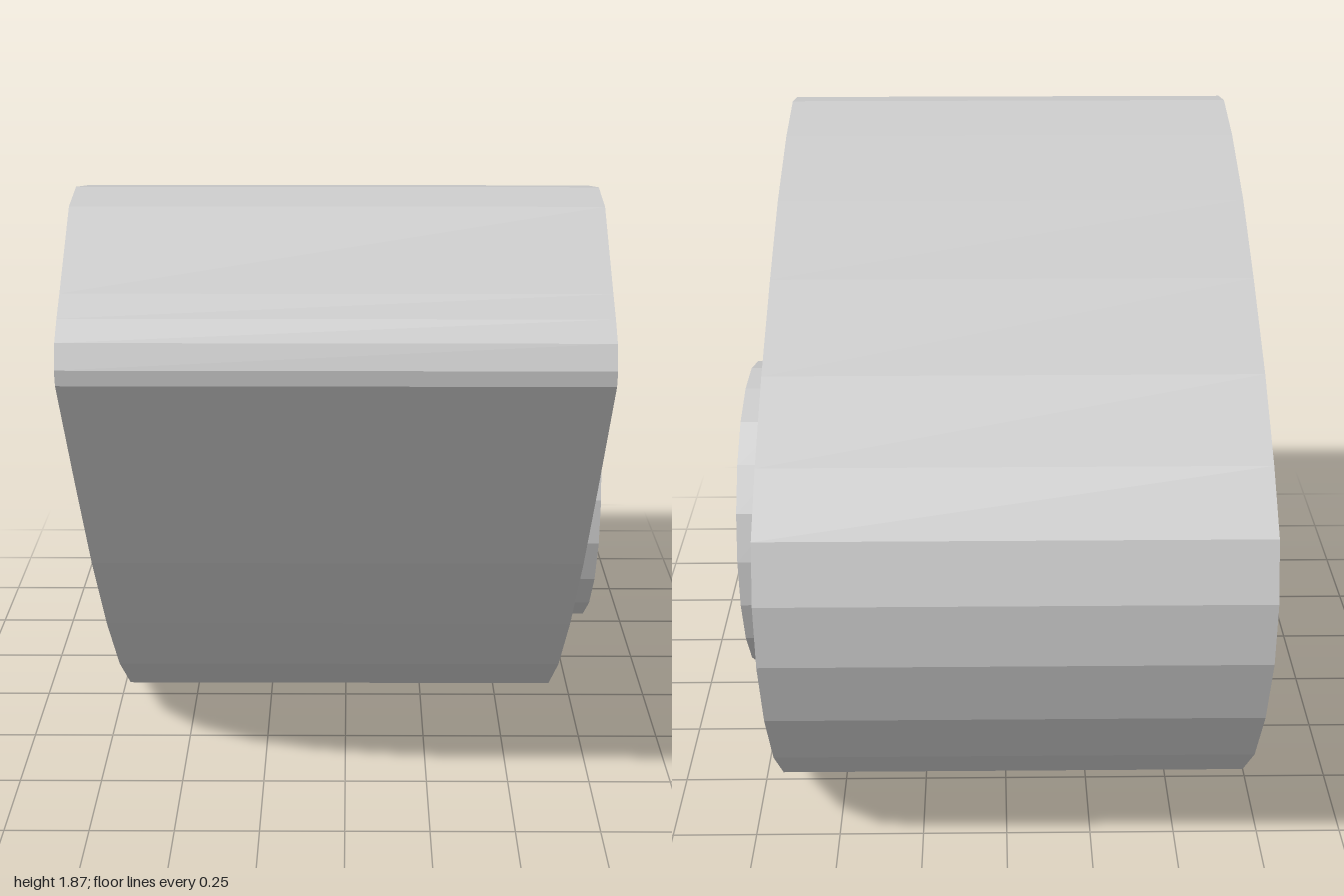
import * as THREE from 'three';

// Extrudes a side outline, given as [z, y] points, along x from x0 to x1.
function extrudeAlongX(name, outline, x0, x1) {
  const shape = new THREE.Shape(outline.map(([z, y]) => new THREE.Vector2(-z, y)));
  const geometry = new THREE.ExtrudeGeometry(shape, { depth: x1 - x0, bevelEnabled: false });
  geometry.rotateY(Math.PI / 2).translate(x0, 0, 0);
  const material = new THREE.MeshStandardMaterial({ color: 0xcccccc, flatShading: true });
  const mesh = new THREE.Mesh(geometry, material);
  mesh.name = name;
  return mesh;
}

export function createModel() {
  const group = new THREE.Group();
  group.name = 'camLobe';

  // Teardrop body: blunt nose up front, round heel low at the back
  const bodyOutline = [
    [1, 1.49], [1, 1.53], [0.97, 1.59], [0.92, 1.635], [0.86, 1.68],
    [0.65, 1.845], [0.53, 1.866], [0.32, 1.82], [0.03, 1.715], [-0.24, 1.58],
    [-0.53, 1.42], [-0.76, 1.265], [-0.915, 1.135], [-0.985, 0.98], [-1, 0.8],
    [-0.955, 0.59], [-0.86, 0.385], [-0.71, 0.205], [-0.52, 0.07], [-0.3, 0],
    [-0.07, 0.025], [0.14, 0.13], [0.33, 0.315], [0.51, 0.56], [0.68, 0.845],
    [0.84, 1.16],
  ];
  group.add(extrudeAlongX('body', bodyOutline, -0.7, 0.66));

  // Round shaft bosses on both sides, 21-sided with a corner at the bottom
  const sides = 21, radius = 0.466;
  const circle = Array.from({ length: sides }, (_, i) => {
    const a = -Math.PI / 2 + (i / sides) * Math.PI * 2;
    return [-0.14 + radius * Math.cos(a), 0.764 + radius * Math.sin(a)];
  });
  group.add(extrudeAlongX('leftBoss', circle, 0.64, 0.76));
  group.add(extrudeAlongX('rightBoss', circle, -0.76, -0.68));

  return group;
}
